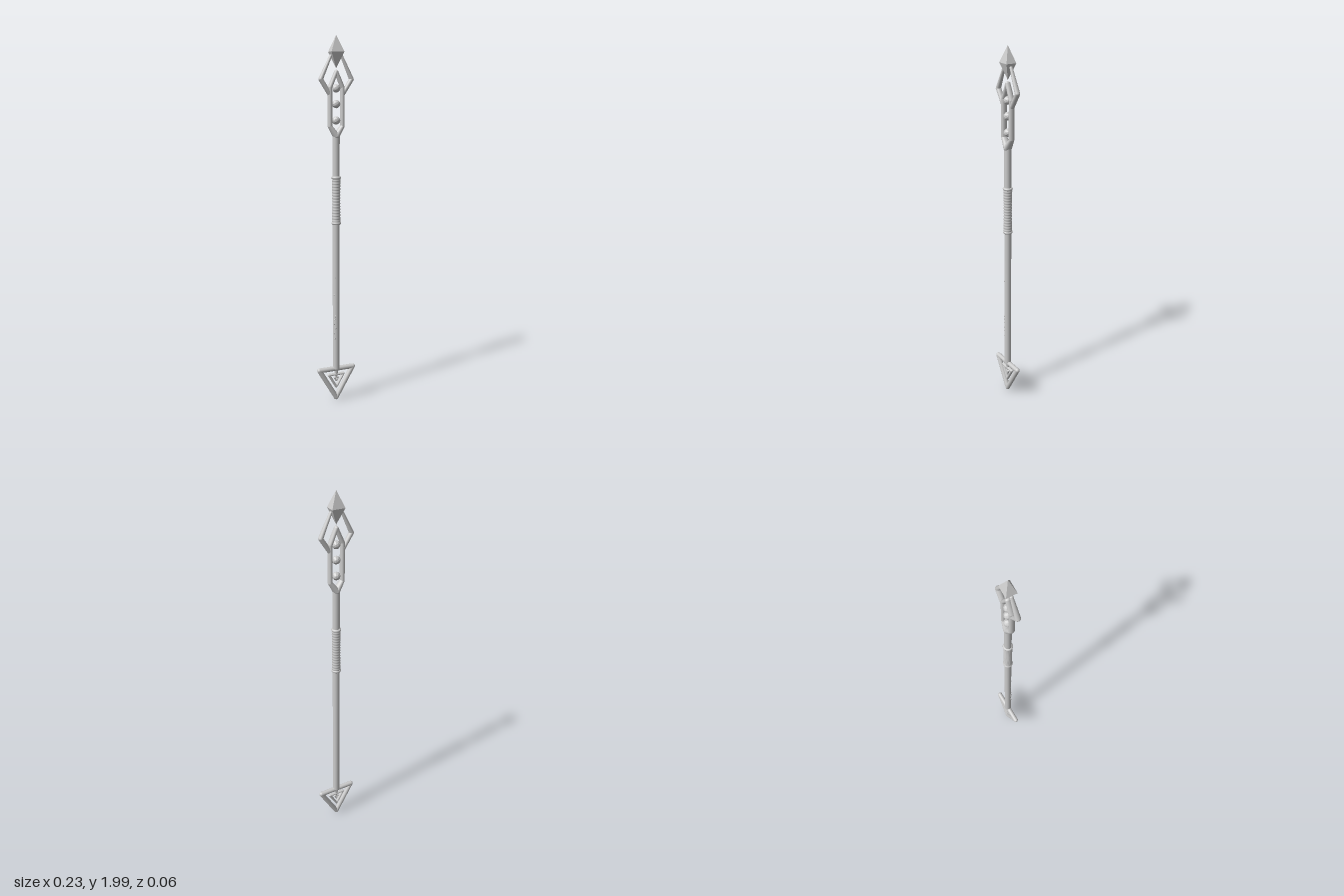
import * as THREE from 'three';

export function createModel() {
  const model = new THREE.Group();
  const smooth = new THREE.MeshStandardMaterial({ color: 0xcccccc });
  const faceted = new THREE.MeshStandardMaterial({ color: 0xcccccc, flatShading: true });

  const add = (parent, name, geometry, material = smooth) => {
    const mesh = new THREE.Mesh(geometry, material);
    mesh.name = name;
    parent.add(mesh);
    return mesh;
  };

  // Rounded rod through points [x, y, radius], deepened along z
  const rod = (name, points, depth = 1, closed = false) => {
    const group = new THREE.Group();
    group.name = name;
    group.scale.z = depth;
    const path = closed ? [...points, points[0]] : points;
    path.forEach(([x, y, r], i) => {
      if (!closed || i > 0) add(group, name + 'Joint', new THREE.SphereGeometry(r, 16, 12)).position.set(x, y, 0);
      if (i === 0) return;
      const [px, py, pr] = path[i - 1];
      const length = Math.hypot(x - px, y - py);
      const bar = add(group, name + 'Bar', new THREE.CylinderGeometry(r, pr, length, 16, 1, true));
      bar.position.set((x + px) / 2, (y + py) / 2, 0);
      bar.rotation.z = Math.atan2(px - x, y - py);
    });
    model.add(group);
    return group;
  };

  // Shaft
  const shaft = add(model, 'shaft', new THREE.CylinderGeometry(0.019, 0.019, 1.31, 24));
  shaft.position.y = 0.845;

  // Ribbed, slightly waisted grip with rounded collars
  const profile = [new THREE.Vector2(0.018, 1.015)];
  const ribs = 96;
  for (let i = 0; i <= ribs; i++) {
    const t = i / ribs;
    const waist = 0.0215 + 0.002 * Math.pow(2 * t - 1, 2);
    profile.push(new THREE.Vector2(waist + 0.0008 * Math.cos(t * Math.PI * 32), 1.015 + 0.25 * t));
  }
  profile.push(new THREE.Vector2(0.018, 1.265));
  add(model, 'grip', new THREE.LatheGeometry(profile, 24));
  for (const y of [1.018, 1.264]) {
    const collar = add(model, 'gripCollar', new THREE.TorusGeometry(0.0185, 0.008, 10, 24));
    collar.rotation.x = Math.PI / 2;
    collar.position.y = y;
  }

  // Small raised marks along one side of the shaft
  const marks = [0.37, 0.4, 0.43, 0.455, 0.48, 0.5, 0.62, 0.72];
  marks.forEach((y, i) => {
    const angle = Math.PI * 0.75 + 0.25 * Math.sin(i * 2.3);
    const reach = i < 6 ? 0.019 : 0.0175;
    const mark = add(model, 'shaftMark', new THREE.IcosahedronGeometry(0.004, 0), faceted);
    mark.scale.y = 1.6;
    mark.position.set(reach * Math.cos(angle), y, reach * Math.sin(angle));
  });

  // Head: a forked frame, peaked inside, with outer prongs reaching the gem
  for (const s of [-1, 1]) {
    rod('headFrame', [
      [0, 1.485, 0.018], [s * 0.035, 1.535, 0.0115], [s * 0.035, 1.735, 0.0115], [0, 1.815, 0.0105],
    ], 1.35);
    rod('headProng', [
      [s * 0.036, 1.7, 0.0115], [s * 0.086, 1.777, 0.012], [s * 0.03, 1.895, 0.007],
    ], 1.2);
  }

  // Beads inside the frame
  for (const y of [1.565, 1.65, 1.73]) {
    add(model, 'bead', new THREE.IcosahedronGeometry(0.022, 1), faceted).position.y = y;
  }

  // Four-sided pointed gem
  const gem = new THREE.Group();
  gem.name = 'gem';
  const base = 1.915;
  for (const [tip, name] of [[2, 'gemTop'], [1.832, 'gemBottom']]) {
    const up = tip > base;
    const height = Math.abs(tip - base);
    const cone = new THREE.CylinderGeometry(up ? 0 : Math.SQRT2, up ? Math.SQRT2 : 0, height, 4, 1, true);
    cone.rotateY(Math.PI / 4);
    cone.scale(0.035, 1, 0.028);
    add(gem, name, cone, faceted).position.y = (base + tip) / 2;
  }
  gem.rotation.y = -0.04;
  model.add(gem);

  // Foot: nested downward triangles
  const triangle = (name, half, top, bottom, r, depth) =>
    rod(name, [[-half, top, r], [half, top, r], [0, bottom, r]], depth, true);
  triangle('footOuterTriangle', 0.1, 0.19, 0.019, 0.0135, 1);
  triangle('footInnerTriangle', 0.044, 0.156, 0.083, 0.007, 1.4);
  triangle('footCentre', 0.011, 0.137, 0.119, 0.005, 1.4);
  rod('footLink', [[0, 0.19, 0.012], [0, 0.137, 0.006]]);

  return model;
}
